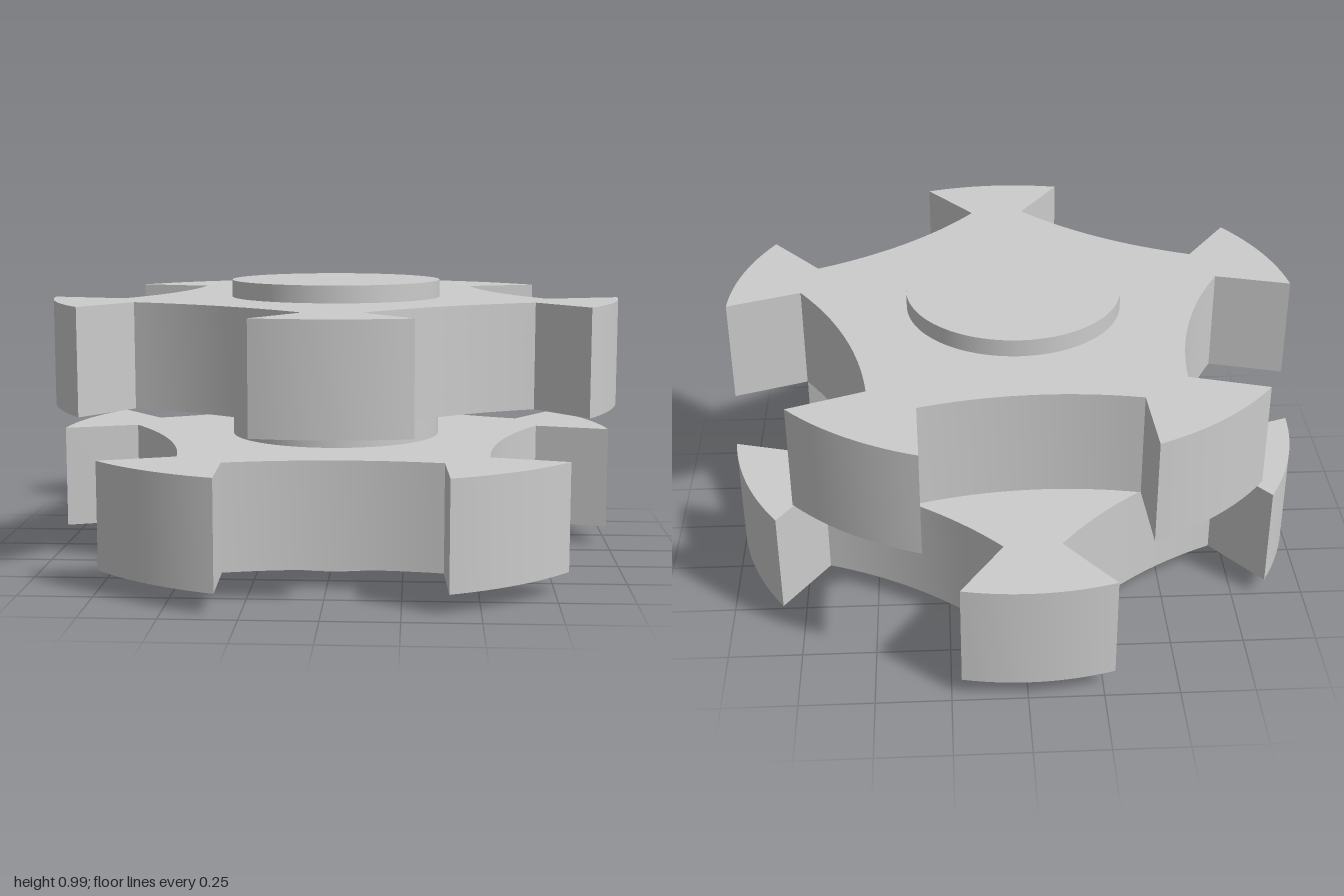
import * as THREE from 'three';
import { toCreasedNormals } from 'three/addons/utils/BufferGeometryUtils.js';

const TEETH = 5, STEP = (Math.PI * 2) / TEETH, SKEW = THREE.MathUtils.degToRad(2.1);
const RIM = 1, TIP_HALF = THREE.MathUtils.degToRad(14.6);
const NECK_R = 0.755, NECK_HALF = THREE.MathUtils.degToRad(7.35);
const VALLEY_R = 0.617; // closest point of the hollow between teeth
const WHEEL_H = 0.365;

// Outline with flared teeth joined by shallow concave arcs
function wheelShape() {
  const pts = [];
  const polar = (r, a) => new THREE.Vector2(r * Math.sin(a), r * Math.cos(a));

  // circle of the hollow, through both necks and the valley point
  const half = STEP / 2 - NECK_HALF;
  const chord = NECK_R * Math.sin(half), sag = NECK_R * Math.cos(half) - VALLEY_R;
  const arcR = (chord * chord + sag * sag) / (2 * sag);
  const arcHalf = Math.asin(chord / arcR);

  for (let i = 0; i < TEETH; i++) {
    const mid = i * STEP + SKEW;
    // tooth tip on the rim
    for (let k = 0; k <= 12; k++) pts.push(polar(RIM, mid - TIP_HALF + (2 * TIP_HALF * k) / 12));
    // hollow from this neck to the next one
    const dir = mid + STEP / 2, centre = polar(VALLEY_R + arcR, dir);
    for (let k = 0; k <= 16; k++) {
      const t = arcHalf * (1 - (2 * k) / 16);
      pts.push(centre.clone().sub(polar(arcR, dir + t)));
    }
  }
  return new THREE.Shape(pts);
}

export function createModel() {
  const group = new THREE.Group();
  const material = new THREE.MeshStandardMaterial({ color: 0xcccccc });

  const add = (name, geometry, y) => {
    const mesh = new THREE.Mesh(geometry, material);
    mesh.name = name;
    mesh.position.y = y;
    group.add(mesh);
    return mesh;
  };

  // Toothed wheels, the lower one turned half a turn so its teeth sit in the gaps
  const extruded = new THREE.ExtrudeGeometry(wheelShape(), { depth: WHEEL_H, bevelEnabled: false });
  extruded.rotateX(Math.PI / 2).translate(0, WHEEL_H, 0);
  const wheel = toCreasedNormals(extruded, 0.4);
  add('upperWheel', wheel, 0.56);
  add('lowerWheel', wheel, 0.067).rotation.y = Math.PI;

  // Central hub through both wheels
  add('hub', new THREE.CylinderGeometry(0.371, 0.371, 0.985, 96), 0.985 / 2);

  return group;
}
